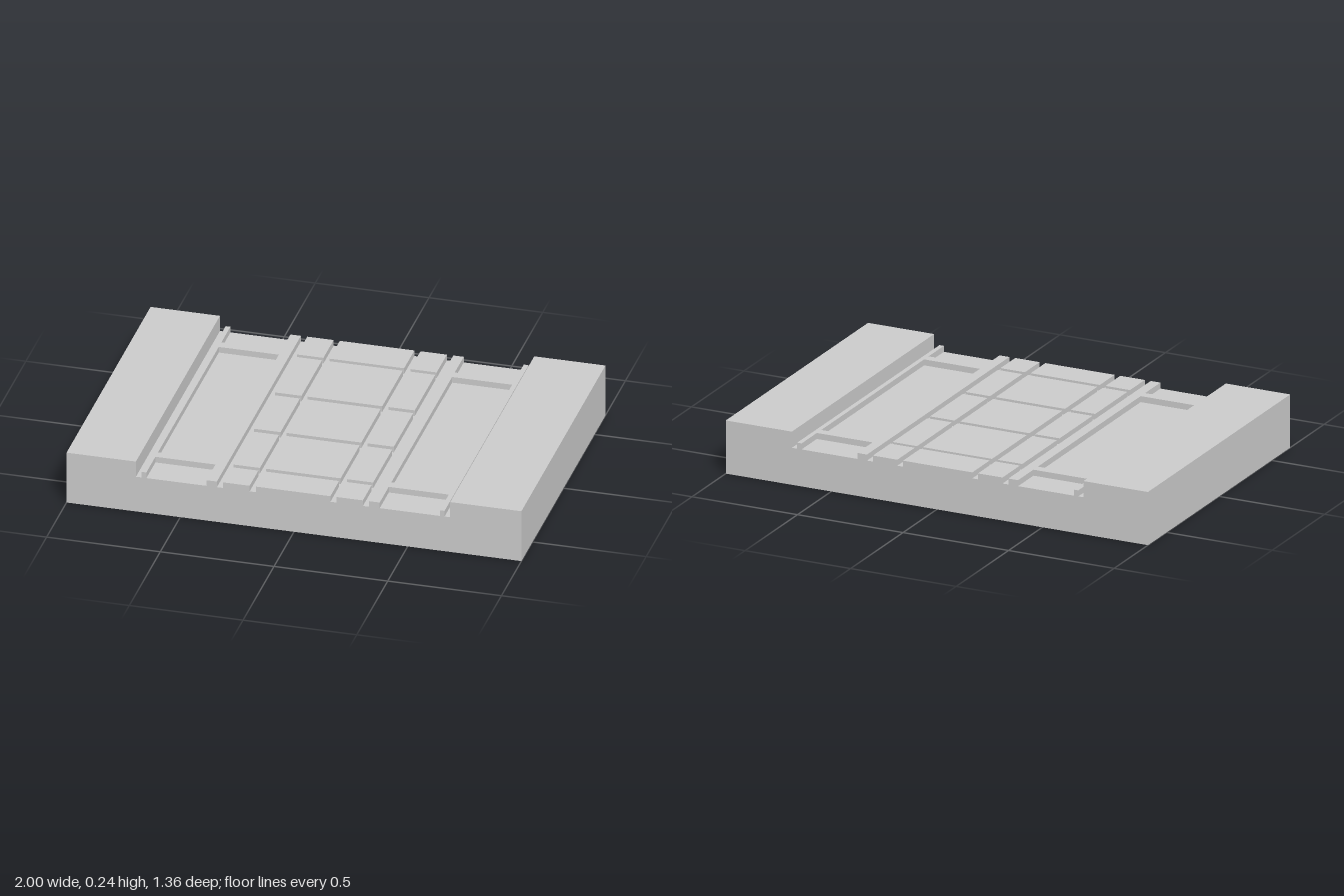
import * as THREE from 'three';

const DEPTH = 1.356, HALF = DEPTH / 2;
const TOP = 0.24, FLOOR = 0.167, RAISED = 0.194;
const CX = -0.004; // the carved pattern sits slightly off centre

export function createModel() {
  const group = new THREE.Group();
  group.name = 'carvedSlab';
  const material = new THREE.MeshStandardMaterial({ color: 0xcccccc, flatShading: true });

  const add = (name, geometry) => {
    const mesh = new THREE.Mesh(geometry, material);
    mesh.name = name;
    group.add(mesh);
  };
  // raised block standing on the recessed floor
  const block = (name, x0, x1, z0, z1) => {
    const h = RAISED - FLOOR;
    add(name, new THREE.BoxGeometry(x1 - x0, h, z1 - z0)
      .translate((x0 + x1) / 2, FLOOR + h / 2, (z0 + z1) / 2));
  };

  // slab section: high shoulders, recessed floor and full-length rails
  const half = [
    [0.345 - 0.01, FLOOR], [0.335, RAISED], [0.381, RAISED], [0.381, FLOOR],
    [0.645, FLOOR], [0.645, RAISED], [0.666, RAISED], [0.666, FLOOR],
    [0.691, FLOOR], [0.691, TOP],
  ];
  const section = new THREE.Shape([
    [-1, 0], [1, 0], [1, TOP],
    ...half.map(([x, y]) => [CX + x, y]).reverse(),
    ...half.map(([x, y]) => [CX - x, y]),
    [-1, TOP],
  ].map(([x, y]) => new THREE.Vector2(x, y)));
  add('slab', new THREE.ExtrudeGeometry(section, { depth: DEPTH, bevelEnabled: false })
    .translate(0, 0, -HALF));

  // crossbars dividing each side pocket into three
  for (const side of [-1, 1]) {
    for (const end of [-1, 1]) {
      const x = CX + side * 0.513, z = end * 0.511;
      block('pocketCrossbar', x - 0.132, x + 0.132, z - 0.021, z + 0.021);
    }
  }

  // central field of tiles separated by narrow grooves
  const columns = [[-0.307, -0.191], [-0.164, 0.164], [0.191, 0.307]];
  const rows = [[-HALF, -0.512], [-0.49, -0.159], [-0.134, 0.179], [0.205, 0.512], [0.537, HALF]];
  for (const [x0, x1] of columns) {
    for (const [z0, z1] of rows) block('tile', CX + x0, CX + x1, z0, z1);
  }
  return group;
}
